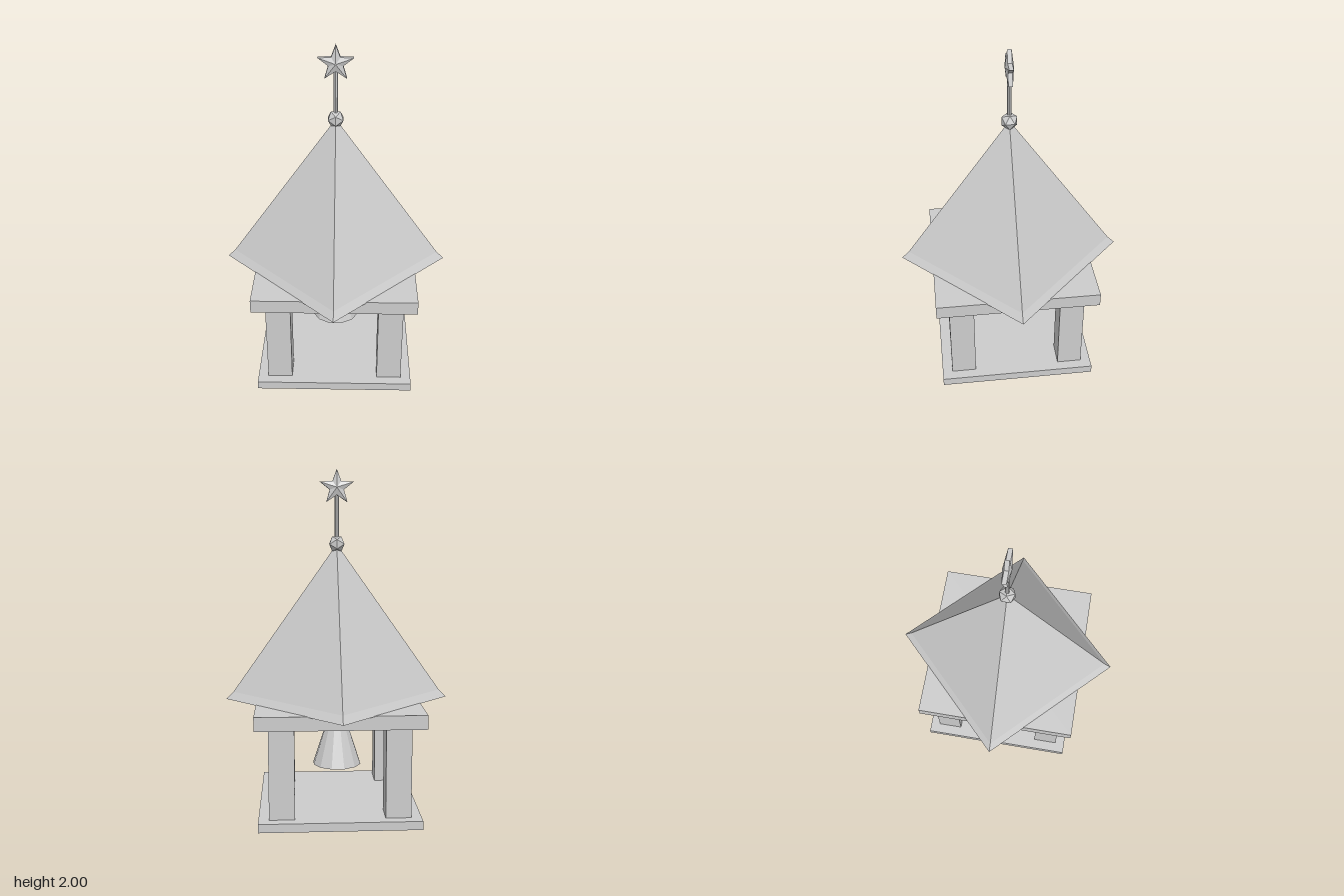
import * as THREE from 'three';

export function createModel() {
  const model = new THREE.Group();
  const stone = new THREE.MeshStandardMaterial({ color: 0xcccccc, flatShading: true });
  stone.name = 'light grey';

  function add(name, geometry, x, y, z) {
    const mesh = new THREE.Mesh(geometry, stone);
    mesh.name = name;
    mesh.position.set(x, y, z);
    model.add(mesh);
    return mesh;
  }

  // Floor, corner posts and ceiling slab
  add('base', new THREE.BoxGeometry(0.92, 0.05, 0.92), 0, 0.025, 0);
  for (const x of [-0.328, 0.328]) {
    for (const z of [-0.328, 0.328]) {
      add('post', new THREE.BoxGeometry(0.145, 0.53, 0.145), x, 0.315, z);
    }
  }
  add('ceilingSlab', new THREE.BoxGeometry(0.95, 0.08, 0.95), 0, 0.62, 0);

  // Four-sided roof turned to a diamond, with flared eaves
  const eaves = new THREE.CylinderGeometry(0.615, 0.658, 0.043, 4);
  add('roofEaves', eaves, 0, 0.6785, 0);
  add('roof', new THREE.CylinderGeometry(0.015, 0.615, 0.85, 4), 0, 1.125, 0);

  // Bell on its rod
  add('bell', new THREE.CylinderGeometry(0.073, 0.145, 0.22, 12, 1, false, Math.PI / 12), 0, 0.365, 0);
  add('bellRod', new THREE.CylinderGeometry(0.009, 0.009, 0.12, 8), 0, 0.53, 0);

  // Finial ball and pole
  add('finialBall', new THREE.IcosahedronGeometry(0.051), 0, 1.572, 0);
  add('finialPole', new THREE.CylinderGeometry(0.012, 0.012, 0.26, 8), 0, 1.72, 0);

  // Star: a rim of ten points with a raised centre on both faces
  const points = [];
  for (let i = 0; i < 10; i++) {
    const a = Math.PI / 2 + (i * Math.PI) / 5;
    const r = i % 2 ? 0.043 : 0.104;
    points.push([r * Math.cos(a), r * Math.sin(a)]);
  }
  const rim = 0.012, peak = 0.025, verts = [];
  points.forEach(([ax, ay], i) => {
    const [bx, by] = points[(i + 1) % 10];
    verts.push(0, 0, peak, ax, ay, rim, bx, by, rim);
    verts.push(0, 0, -peak, bx, by, -rim, ax, ay, -rim);
    verts.push(ax, ay, rim, ax, ay, -rim, bx, by, -rim);
    verts.push(ax, ay, rim, bx, by, -rim, bx, by, rim);
  });
  const star = new THREE.BufferGeometry();
  star.setAttribute('position', new THREE.Float32BufferAttribute(verts, 3));
  star.computeVertexNormals();
  add('star', star, 0, 1.896, 0);

  return model;
}
